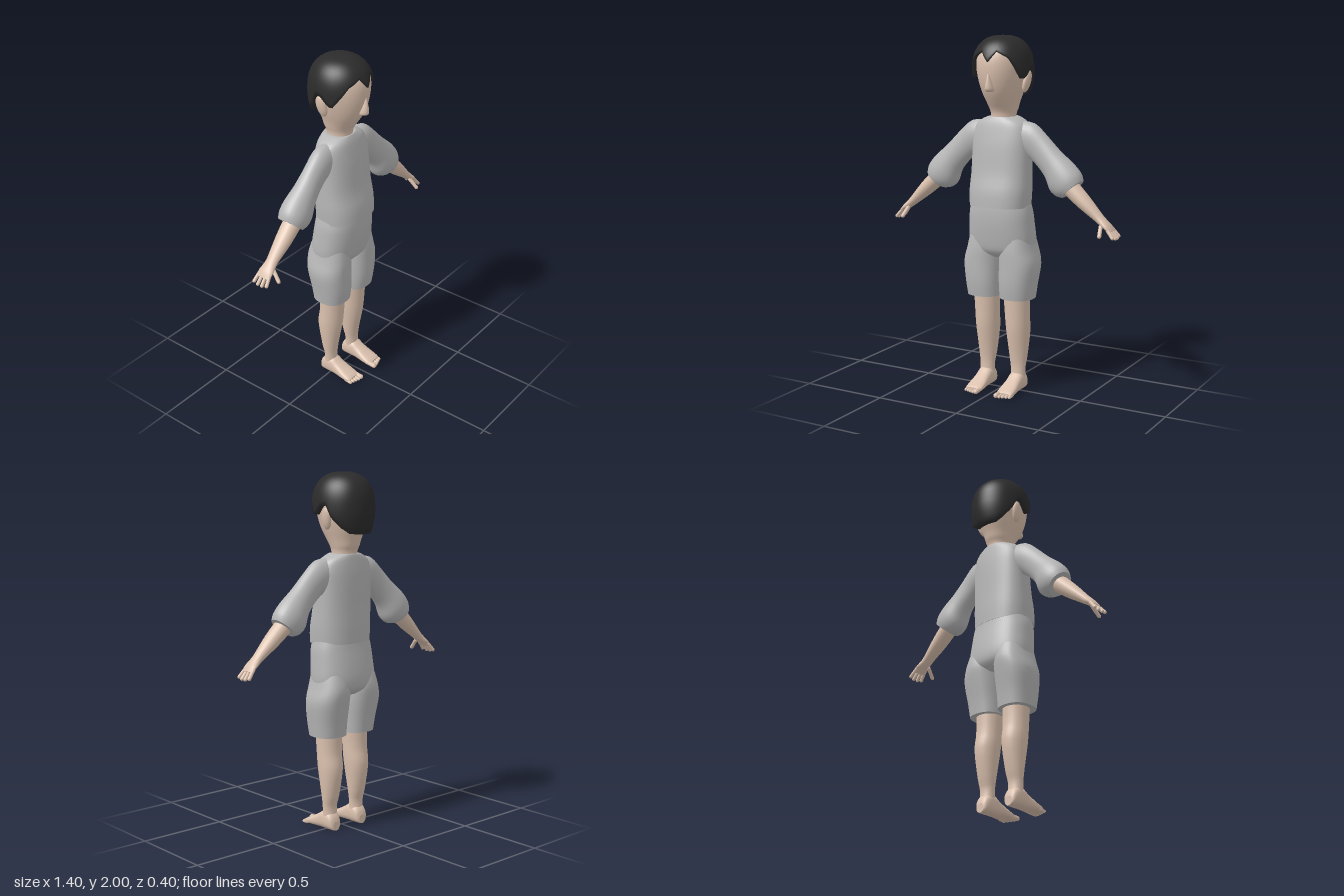
import * as THREE from 'three';

const skin = new THREE.MeshStandardMaterial({ color: 0xdbc1ae });
skin.name = 'skin';
const cloth = new THREE.MeshStandardMaterial({ color: 0xb6b6b6 });
cloth.name = 'grey cloth';
const black = new THREE.MeshStandardMaterial({ color: 0x2b2b2b });
black.name = 'black hair';

function named(geometry, material, name) {
  const mesh = new THREE.Mesh(geometry, material);
  mesh.name = name;
  return mesh;
}

function buildGeometry(positions, index) {
  const g = new THREE.BufferGeometry();
  g.setAttribute('position', new THREE.Float32BufferAttribute(positions, 3));
  g.setIndex(index);
  g.computeVertexNormals();
  return g;
}

// Smooth curve through ring parameters
function refine(rings, steps) {
  const out = [];
  for (let i = 0; i < rings.length - 1; i++) {
    const [p0, p1, p2, p3] = [-1, 0, 1, 2].map(d => rings[Math.min(Math.max(i + d, 0), rings.length - 1)]);
    for (let s = 0; s < steps; s++) {
      const t = s / steps;
      out.push(p1.map((b, k) => {
        const a = p0[k], c = p2[k], d = p3[k];
        return b + 0.5 * t * (c - a + t * (2 * a - 5 * b + 4 * c - d + t * (3 * (b - c) + d - a)));
      }));
    }
  }
  out.push(rings[rings.length - 1]);
  return out;
}

// Closed skin over rings [x, y, z, rx, rz, tilt in degrees], listed from bottom to top
function loft(rings, { n = 28, power = 2, steps = 3 } = {}) {
  const rows = refine(rings.map(r => [...r, 0].slice(0, 6)), steps);
  const pos = [], idx = [];
  const ringPoints = ([x, y, z, rx, rz, tilt]) => {
    const a = THREE.MathUtils.degToRad(tilt);
    for (let k = 0; k < n; k++) {
      const t = k / n * Math.PI * 2;
      const c = Math.sign(Math.cos(t)) * Math.abs(Math.cos(t)) ** (2 / power) * rx;
      const s = Math.sign(Math.sin(t)) * Math.abs(Math.sin(t)) ** (2 / power) * rz;
      pos.push(x + c * Math.cos(a), y + c * Math.sin(a), z + s);
    }
  };
  rows.forEach(ringPoints);
  for (let i = 0; i < rows.length - 1; i++) {
    for (let k = 0; k < n; k++) {
      const a = i * n + k, b = i * n + (k + 1) % n;
      idx.push(a, a + n, b, b, a + n, b + n);
    }
  }
  // End caps with their own vertices, so hems stay sharp
  [[rows[0], false], [rows[rows.length - 1], true]].forEach(([row, top]) => {
    const start = pos.length / 3;
    ringPoints(row);
    pos.push(row[0], row[1], row[2]);
    for (let k = 0; k < n; k++) {
      const a = start + k, b = start + (k + 1) % n;
      idx.push(top ? b : a, top ? a : b, start + n);
    }
  });
  return buildGeometry(pos, idx);
}

// Rounded rod between two points, for fingers and toes
function rod(a, b, r, name) {
  const from = new THREE.Vector3(...a), to = new THREE.Vector3(...b);
  const dir = to.clone().sub(from);
  const mesh = named(new THREE.CapsuleGeometry(r, dir.length(), 4, 10), skin, name);
  mesh.position.copy(from).add(to).multiplyScalar(0.5);
  mesh.quaternion.setFromUnitVectors(new THREE.Vector3(0, 1, 0), dir.normalize());
  return mesh;
}

// Cap of hair whose lower edge follows a hairline around the head
function hairGeometry() {
  const line = [[0, 1.86], [0.3, 1.915], [0.71, 1.88], [0.98, 1.82], [1.2, 1.77], [1.3, 1.77], [1.6, 1.82],
    [1.8, 1.82], [1.97, 1.755], [2.3, 1.7], [2.6, 1.67], [3.15, 1.665]];
  const edge = theta => {
    const i = line.findIndex(p => p[0] > theta);
    const [a, b] = [line[i - 1], line[i]];
    return a[1] + (b[1] - a[1]) * (theta - a[0]) / (b[0] - a[0]);
  };
  const cols = 84, rowCount = 15, mid = 1.8, e = 0.8, pos = [], idx = [];
  for (let j = 0; j <= rowCount; j++) {
    for (let i = 0; i < cols; i++) {
      const theta = i / cols * Math.PI * 2;
      const low = edge(Math.min(theta, Math.PI * 2 - theta));
      const end = low > mid ? Math.acos(((low - mid) / 0.2) ** (1 / e)) : Math.PI / 2 + (mid - low) / 0.2;
      const q = end * Math.min(j / (rowCount - 1), 1);
      const dome = q < Math.PI / 2;
      const y = dome ? mid + 0.2 * Math.max(Math.cos(q), 0) ** e : mid - (q - Math.PI / 2) * 0.2;
      let r = dome ? Math.sin(q) ** e : 1 - 8 * (mid - y) ** 2;
      if (j === rowCount) r *= 0.84; // lip turned in towards the head
      pos.push(0.168 * r * Math.sin(theta), y, -0.015 + 0.182 * r * Math.cos(theta));
    }
  }
  for (let j = 0; j < rowCount; j++) {
    for (let i = 0; i < cols; i++) {
      const a = j * cols + i, b = j * cols + (i + 1) % cols;
      idx.push(a, a + cols, b, b, a + cols, b + cols);
    }
  }
  return buildGeometry(pos, idx);
}

function makeArm() {
  const arm = new THREE.Group();
  arm.add(named(loft([
    [0.43, 1.181, -0.015, 0.075, 0.07, 42], [0.405, 1.204, -0.015, 0.095, 0.08, 45],
    [0.365, 1.243, -0.015, 0.1, 0.08, 50], [0.312, 1.31, -0.012, 0.084, 0.066, 61],
    [0.24, 1.385, -0.011, 0.083, 0.057, 65], [0.172, 1.437, -0.012, 0.093, 0.06, 76],
    [0.1, 1.45, -0.014, 0.085, 0.06, 85],
  ]), cloth, 'sleeve'));
  arm.add(named(loft([
    [0.667, 0.972, -0.008, 0.01, 0.042, 39], [0.645, 0.995, -0.007, 0.017, 0.045, 39],
    [0.618, 1.017, -0.006, 0.022, 0.038, 41], [0.585, 1.045, -0.006, 0.027, 0.035, 43],
    [0.5, 1.12, -0.006, 0.042, 0.047, 43], [0.41, 1.2, -0.008, 0.05, 0.052, 43],
  ], { n: 20 }), skin, 'forearm'));
  [[-0.043, -0.052, 0.688, 0.944], [-0.02, -0.024, 0.692, 0.938], [0.003, 0.005, 0.692, 0.938], [0.025, 0.033, 0.688, 0.944]]
    .forEach(([z0, z1, x, y]) => arm.add(rod([0.653, 0.985, z0], [x, y, z1], 0.01, 'finger')));
  arm.add(rod([0.615, 1.0, 0.022], [0.626, 0.953, 0.064], 0.011, 'thumb'));
  return arm;
}

function makeLeg() {
  const leg = new THREE.Group();
  leg.add(named(loft([
    [0.103, 0.545, 0, 0.097, 0.1], [0.107, 0.63, 0, 0.104, 0.111], [0.112, 0.74, -0.01, 0.111, 0.122],
    [0.104, 0.82, -0.015, 0.098, 0.125], [0.098, 0.9, -0.01, 0.085, 0.11],
  ], { power: 2.4 }), cloth, 'shortsLeg'));
  leg.add(named(loft([
    [0.1, 0.06, -0.014, 0.043, 0.04], [0.1, 0.13, -0.012, 0.044, 0.034], [0.099, 0.2, -0.017, 0.053, 0.047],
    [0.098, 0.35, -0.016, 0.068, 0.073], [0.097, 0.45, -0.005, 0.071, 0.07], [0.096, 0.58, 0, 0.076, 0.074],
  ]), skin, 'lowerLeg'));
  // Foot is lofted heel to toe, then laid flat
  const profile = [[-0.068, 0.022, 0.05], [-0.058, 0.037, 0.08], [-0.03, 0.045, 0.108], [0.015, 0.045, 0.108],
    [0.05, 0.045, 0.085], [0.1, 0.05, 0.057], [0.145, 0.05, 0.036], [0.16, 0.044, 0.026]];
  const foot = loft(profile.map(([z, w, h]) => [0.1, z, -h / 2, w, h / 2]), { power: 2.5 });
  leg.add(named(foot.rotateX(Math.PI / 2), skin, 'foot'));
  for (let i = 0; i < 5; i++) {
    const r = i ? 0.0095 : 0.014;
    const x = i ? 0.066 + i * 0.0187 : 0.065;
    leg.add(rod([x, r + 0.003, 0.13], [x, r, 0.199 - r - i * 0.006], r, 'toe'));
  }
  return leg;
}

export function createModel() {
  const model = new THREE.Group();
  model.name = 'barefootBoy';

  // Head, nose and hair
  model.add(named(loft([
    [0, 1.5, -0.022, 0.07, 0.072], [0, 1.565, -0.023, 0.069, 0.074], [0, 1.6, -0.025, 0.078, 0.088],
    [0, 1.64, -0.018, 0.09, 0.108], [0, 1.7, -0.013, 0.111, 0.138], [0, 1.78, -0.01, 0.131, 0.158],
    [0, 1.86, -0.01, 0.139, 0.162], [0, 1.92, -0.012, 0.13, 0.145], [0, 1.96, -0.012, 0.09, 0.1],
    [0, 1.975, -0.012, 0.02, 0.02],
  ], { n: 32 }), skin, 'head'));
  model.add(named(loft([
    [0, 1.698, 0.128, 0.012, 0.014], [0, 1.708, 0.13, 0.025, 0.034], [0, 1.73, 0.135, 0.023, 0.032],
    [0, 1.765, 0.143, 0.013, 0.019], [0, 1.795, 0.148, 0.005, 0.006],
  ], { n: 14 }), skin, 'nose'));
  model.add(named(hairGeometry(), black, 'hair'));

  // Shirt body and seat of the shorts
  model.add(named(loft([
    [0, 1.065, 0.015, 0.172, 0.134], [0, 1.15, 0.011, 0.177, 0.131], [0, 1.25, 0, 0.175, 0.118],
    [0, 1.38, -0.008, 0.174, 0.109], [0, 1.46, -0.014, 0.172, 0.1], [0, 1.52, -0.018, 0.15, 0.09],
    [0, 1.55, -0.022, 0.102, 0.082], [0, 1.558, -0.023, 0.078, 0.078],
  ], { n: 36, power: 2.5 }), cloth, 'shirt'));
  model.add(named(loft([
    [0, 0.775, -0.015, 0.13, 0.075], [0, 0.81, -0.015, 0.182, 0.118], [0, 0.87, -0.012, 0.195, 0.13],
    [0, 0.96, -0.002, 0.19, 0.13], [0, 1.03, 0.004, 0.184, 0.125], [0, 1.08, 0.005, 0.172, 0.12],
  ], { n: 36, power: 2.4 }), cloth, 'shortsSeat'));

  // Paired parts, mirrored
  for (const [side, sign] of [['left', 1], ['right', -1]]) {
    const arm = makeArm(), leg = makeLeg();
    const ear = named(new THREE.SphereGeometry(1, 16, 12), skin, side + 'Ear');
    ear.scale.set(0.018, 0.062, 0.032);
    ear.position.set(sign * 0.138, 1.75, -0.034);
    ear.rotation.set(-0.15, 0, -sign * 0.2);
    arm.name = side + 'Arm';
    leg.name = side + 'Leg';
    arm.scale.x = leg.scale.x = sign;
    model.add(arm, leg, ear);
  }
  return model;
}
